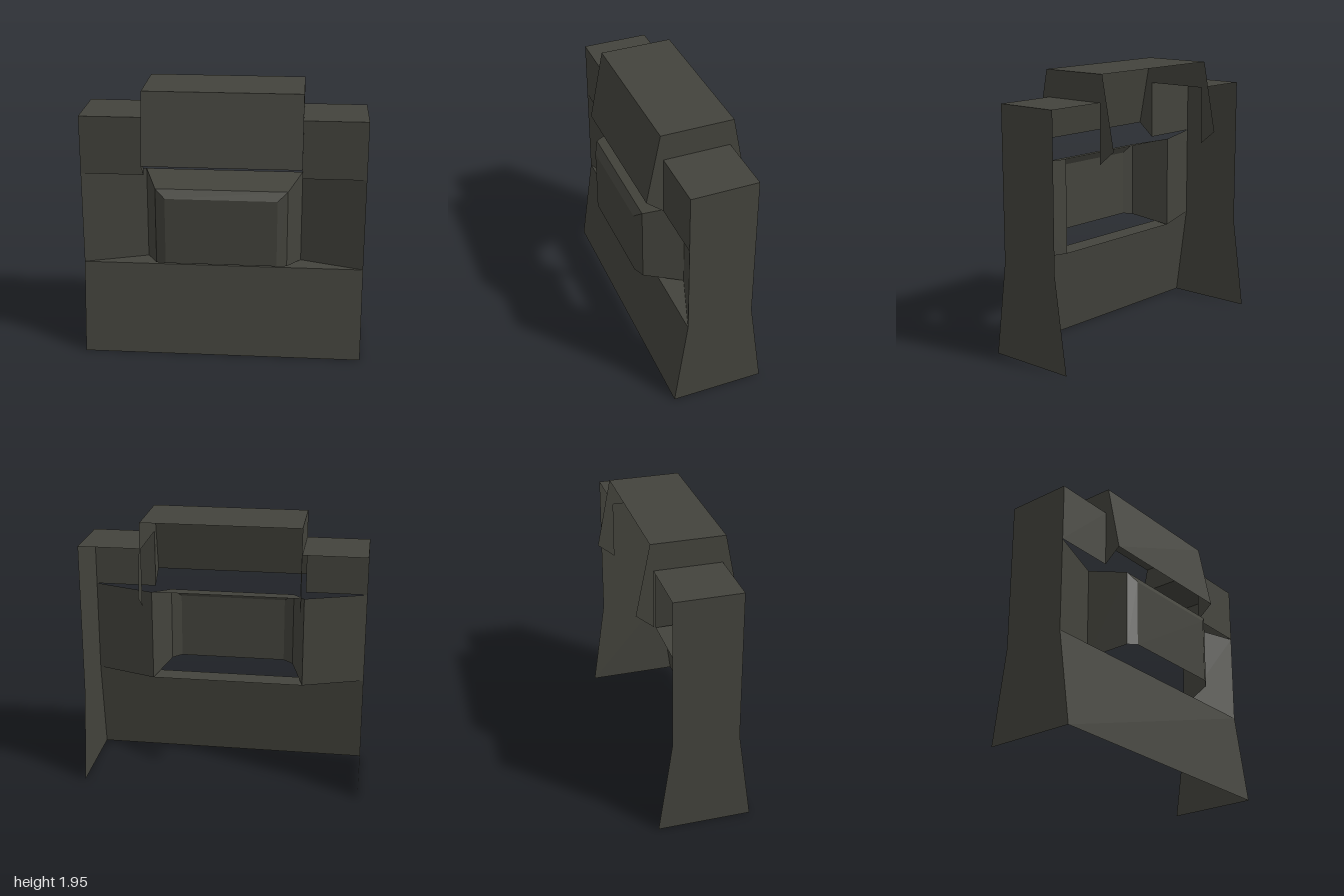
import * as THREE from 'three';

// Key dimensions
const W = 1, IN = 0.555;             // outer half width, column inner edge
const F = 0.22, B = -0.25;           // upper front and back depth
const SILL = 0.67, LINTEL = 1.34, SHOULDER = 1.755, TOP = 1.945;
const RECESS = 0.066;                // depth of the recessed panel edge

export function createModel() {
  const group = new THREE.Group();
  const darkOlive = new THREE.MeshStandardMaterial({ color: 0x43433c, side: THREE.DoubleSide });
  darkOlive.name = 'darkOlive';

  const add = (name, geometry) => {
    const mesh = new THREE.Mesh(geometry, darkOlive);
    mesh.name = name;
    group.add(mesh);
  };

  // Flat convex face from corners, counter-clockwise seen from outside
  const face = (name, corners) => {
    const pos = [];
    for (let i = 1; i < corners.length - 1; i++) pos.push(...corners[0], ...corners[i], ...corners[i + 1]);
    const g = new THREE.BufferGeometry();
    g.setAttribute('position', new THREE.Float32BufferAttribute(pos, 3));
    g.computeVertexNormals();
    add(name, g);
  };

  // The same face on both sides, corners given for the left (+x)
  const pair = (name, corners) => {
    face(name + 'Left', corners);
    face(name + 'Right', corners.map(([x, y, z]) => [-x, y, z]).reverse());
  };

  // Upright side plate from a z, y outline, on both sides
  const sidePlates = (name, x, outline) => {
    for (const s of [1, -1]) {
      const shape = new THREE.Shape(outline.map(([z, y]) => new THREE.Vector2(-s * z, y)));
      const g = new THREE.ShapeGeometry(shape);
      g.rotateY(s * Math.PI / 2);
      g.translate(s * x, 0, 0);
      add(name + (s > 0 ? 'Left' : 'Right'), g);
    }
  };

  // Outer sides with flared foot
  sidePlates('sideWall', W, [[0.313, 0], [-0.345, 0], [B, SILL], [B, SHOULDER], [F, SHOULDER], [F, SILL]]);

  // Sloping base front and the ledge behind it
  face('baseFront', [[-W, 0, 0.313], [W, 0, 0.313], [W, SILL, F], [-W, SILL, F]]);
  face('ledge', [[-W, SILL, F], [W, SILL, F], [IN, SILL, RECESS], [-IN, SILL, RECESS]]);

  // Columns: slanted lower panel, upright upper panel, shoulder
  pair('columnPanel', [[IN, SILL, RECESS], [W, SILL, F], [W, LINTEL, F], [IN, LINTEL, RECESS]]);
  pair('columnFront', [[IN, LINTEL, F], [W, LINTEL, F], [W, SHOULDER, F], [IN, SHOULDER, F]]);
  pair('shoulder', [[IN, SHOULDER, F], [W, SHOULDER, F], [W, SHOULDER, B], [IN, SHOULDER, B]]);

  // Projecting bay, open below: rings of half width, bottom, top, depth
  const rings = [
    [IN, SILL, LINTEL, RECESS],
    [0.46, 0.73, 1.28, 0.335],
    [0.39, 0.742, 1.22, 0.372],
  ];
  for (let i = 0; i < 2; i++) {
    const [x0, b0, t0, z0] = rings[i], [x1, b1, t1, z1] = rings[i + 1];
    pair('baySide', [[x1, b1, z1], [x0, b0, z0], [x0, t0, z0], [x1, t1, z1]]);
    face('bayTop', [[-x1, t1, z1], [x1, t1, z1], [x0, t0, z0], [-x0, t0, z0]]);
  }
  const [bx, bb, bt, bz] = rings[2];
  face('bayFront', [[-bx, bb, bz], [bx, bb, bz], [bx, bt, bz], [-bx, bt, bz]]);

  // Cap: top, sloping front, sides cut out around the columns
  face('capTop', [[-IN, TOP, 0.24], [IN, TOP, 0.24], [IN, TOP, -0.272], [-IN, TOP, -0.272]]);
  face('capFront', [[-IN, 1.44, 0.34], [IN, 1.44, 0.34], [IN, TOP, 0.24], [-IN, TOP, 0.24]]);
  sidePlates('capSide', IN, [
    [0.24, TOP], [0.34, 1.44], [F, LINTEL], [F, SHOULDER],
    [B, SHOULDER], [B, LINTEL], [-0.372, 1.44], [-0.272, TOP],
  ]);

  return group;
}
